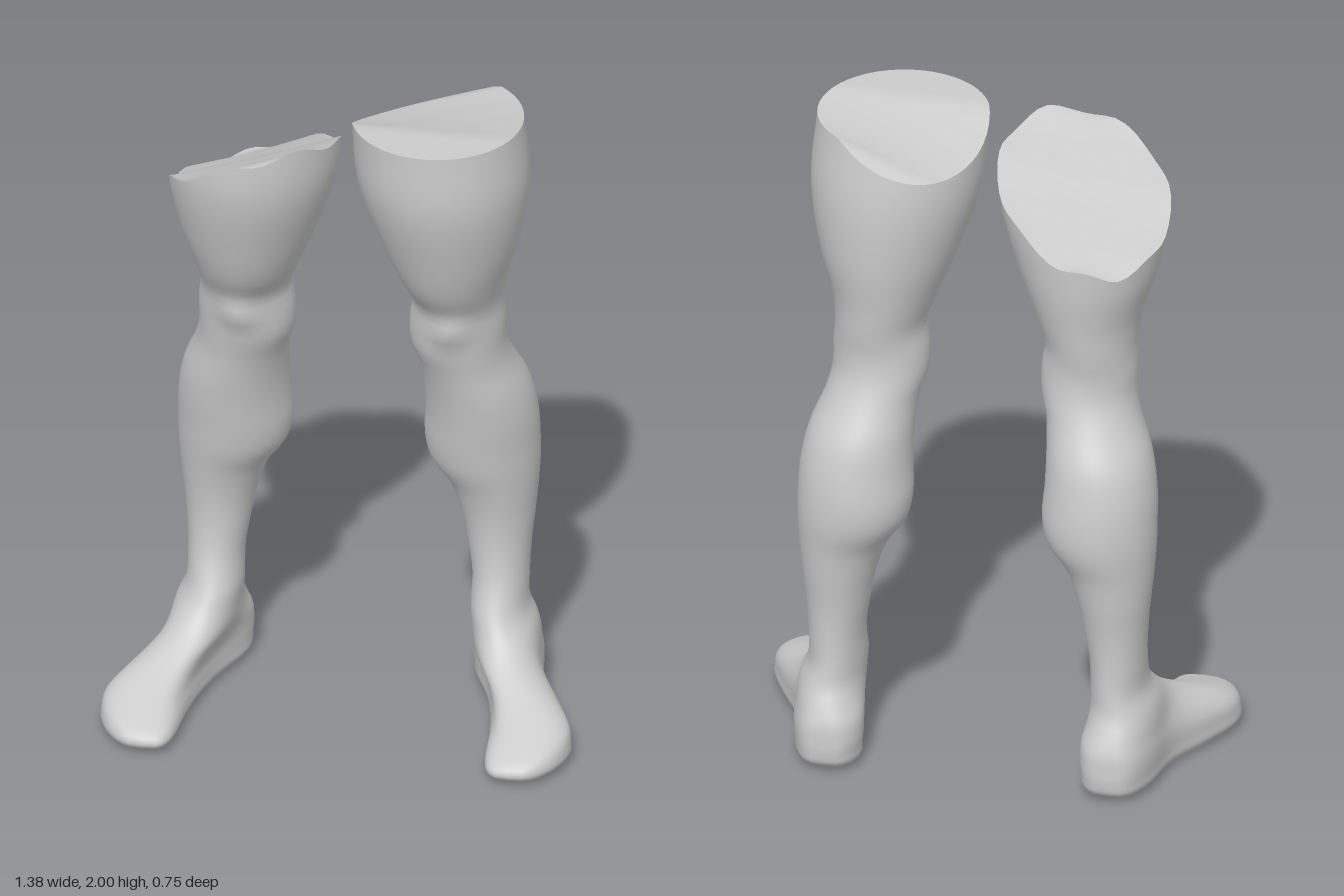
import * as THREE from 'three';

const SIDES = 48, LEVELS = 90, KNEE_TOP = 1.45;

// Leg sections: height, inner x, outer x, back z, front z, how far the section follows the foot
const LEG = [
  [0.00, 0.35, 0.50, -0.33, 0.33, 1],
  [0.025, 0.33, 0.525, -0.365, 0.37, 1],
  [0.06, 0.33, 0.53, -0.375, 0.36, 1],
  [0.10, 0.33, 0.53, -0.375, 0.27, 1],
  [0.15, 0.32, 0.52, -0.37, 0.15, 0.8],
  [0.20, 0.33, 0.53, -0.35, 0.06, 0.4],
  [0.25, 0.335, 0.525, -0.325, 0.0, 0.15],
  [0.30, 0.335, 0.505, -0.315, -0.035, 0],
  [0.40, 0.335, 0.50, -0.31, -0.08, 0],
  [0.50, 0.32, 0.505, -0.315, -0.095, 0],
  [0.60, 0.30, 0.515, -0.33, -0.09, 0],
  [0.70, 0.265, 0.525, -0.345, -0.07, 0],
  [0.78, 0.21, 0.53, -0.365, -0.045, 0],
  [0.85, 0.195, 0.53, -0.37, -0.03, 0],
  [0.95, 0.20, 0.525, -0.36, -0.01, 0],
  [1.05, 0.20, 0.505, -0.335, 0.01, 0],
  [1.15, 0.19, 0.465, -0.28, 0.03, 0],
  [1.22, 0.17, 0.45, -0.25, 0.05, 0],
  [1.30, 0.17, 0.45, -0.24, 0.06, 0],
  [1.37, 0.18, 0.445, -0.25, 0.075, 0],
  [1.45, 0.15, 0.455, -0.26, 0.13, 0],
  [1.60, 0.09, 0.50, -0.28, 0.19, 0],
  [1.80, 0.03, 0.53, -0.285, 0.245, 0],
  [2.00, 0.015, 0.515, -0.26, 0.25, 0],
];

// Foot plan: z, centre x, width factor
const FOOT = [
  [-0.38, 0.42, 1.25], [-0.28, 0.425, 1.25], [-0.10, 0.475, 0.86], [0.05, 0.535, 1.05],
  [0.17, 0.568, 1.3], [0.28, 0.56, 1.35], [0.38, 0.535, 1.3],
];

// Smooth lookup in a table whose first column is the position
function smoothTable(rows) {
  const size = rows[0].length - 1;
  const curve = new THREE.CubicInterpolant(rows.map(r => r[0]), rows.flatMap(r => r.slice(1)), size, new Float32Array(size));
  const first = rows[0][0], last = rows[rows.length - 1][0];
  return t => Array.from(curve.evaluate(THREE.MathUtils.clamp(t, first, last - 1e-5)));
}
const legAt = smoothTable(LEG);
const footAt = smoothTable(FOOT);

// Uneven cut heights of the two thighs, by angle round the leg
const cutLeft = a => 2 - 0.6 * Math.max(0, -0.156 * Math.sin(a) - 0.208 * Math.cos(a) - 0.08);
const cutRight = a => 1.8 - 0.091 * Math.sin(a) + 0.117 * Math.cos(a) + 0.012 * Math.sin(7 * a);

// Point on the skin of a leg standing on the +x side
function skinPoint(angle, level, cut) {
  let y = level;
  if (y > KNEE_TOP) y = KNEE_TOP + (y - KNEE_TOP) / (2 - KNEE_TOP) * (cut(angle) - KNEE_TOP);
  const [x0, x1, z0, z1, follow] = legAt(y);
  const s = Math.sin(angle);
  let z = (z0 + z1) / 2 + (z1 - z0) / 2 * Math.cos(angle);
  const [centre, width] = footAt(z);
  const half = (x1 - x0) / 2 * THREE.MathUtils.lerp(1, width, follow);
  const x = THREE.MathUtils.lerp((x0 + x1) / 2, centre, follow)
    + half * Math.sign(s) * Math.pow(Math.abs(s), 1 - 0.4 * follow);
  // kneecap
  const front = Math.atan2(s, Math.cos(angle));
  z += 0.025 * Math.exp(-(((y - 1.32) / 0.05) ** 2) - (front / 0.45) ** 2);
  return [x, y, z];
}

function makeGeometry(points, quads, side) {
  const index = [];
  for (const [a, b, c, d] of quads) {
    if (side > 0) index.push(a, b, c, a, c, d);
    else index.push(a, c, b, a, d, c);
  }
  const geometry = new THREE.BufferGeometry();
  geometry.setAttribute('position', new THREE.Float32BufferAttribute(points.flatMap(([x, y, z]) => [x * side, y, z]), 3));
  geometry.setIndex(index);
  geometry.computeVertexNormals();
  return geometry;
}

function makeRing(level, cut) {
  return Array.from({ length: SIDES }, (_, i) => skinPoint(i / SIDES * Math.PI * 2, level, cut));
}

// Closing face made of strips from one side of a ring to the other
function makeCap(ring, side, up) {
  const quads = [];
  for (let i = 0; i < SIDES / 2; i++) {
    const q = [i, i + 1, SIDES - i - 1, (SIDES - i) % SIDES];
    quads.push(up ? q : q.reverse());
  }
  return makeGeometry(ring, quads, side);
}

function makeLeg(name, side, cut, material) {
  const leg = new THREE.Group();
  leg.name = name;
  const add = (part, geometry) => {
    const mesh = new THREE.Mesh(geometry, material);
    mesh.name = part;
    leg.add(mesh);
  };
  // skin from sole to thigh, with closer levels in the foot
  const rings = [];
  for (let j = 0; j <= LEVELS; j++) rings.push(makeRing(2 * Math.pow(j / LEVELS, 1.5), cut));
  const quads = [];
  for (let j = 0; j < LEVELS; j++) {
    for (let i = 0; i < SIDES; i++) {
      const k = (i + 1) % SIDES, low = j * SIDES, high = low + SIDES;
      quads.push([low + i, low + k, high + k, high + i]);
    }
  }
  add('legSkin', makeGeometry(rings.flat(), quads, side));
  add('sole', makeCap(rings[0], side, false));
  add('thighCut', makeCap(rings[LEVELS], side, true));
  return leg;
}

export function createModel() {
  const model = new THREE.Group();
  model.name = 'pairOfLegs';
  const material = new THREE.MeshStandardMaterial({ color: 0xcccccc });
  model.add(makeLeg('leftLeg', 1, cutLeft, material));
  model.add(makeLeg('rightLeg', -1, cutRight, material));
  return model;
}
